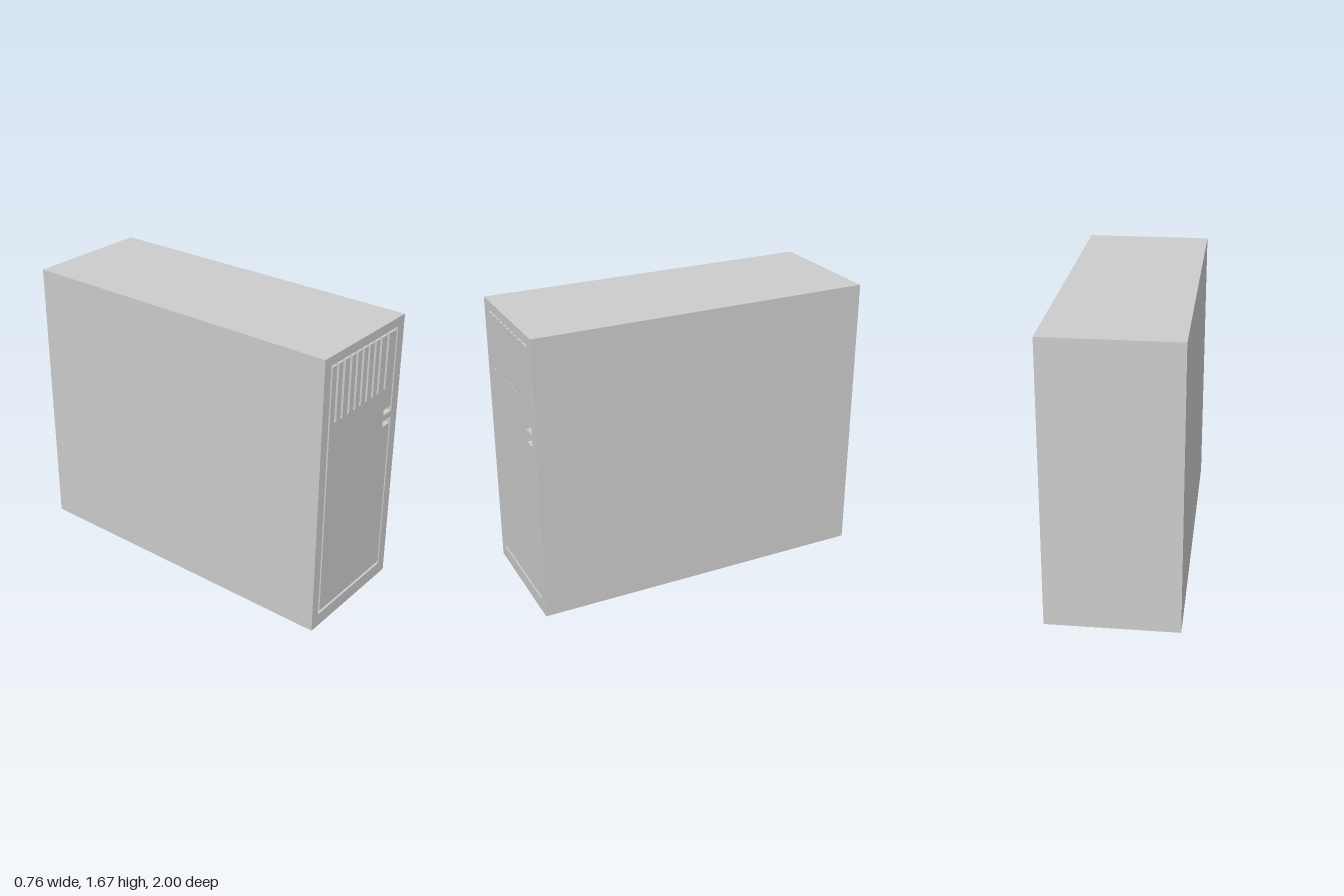
import * as THREE from 'three';

const W = 0.757, H = 1.667, D = 2, DEPTH = 0.05;
const material = new THREE.MeshStandardMaterial({ color: 0xcccccc, flatShading: true });

function addPart(group, name, geometry) {
  const mesh = new THREE.Mesh(geometry, material);
  mesh.name = name;
  group.add(mesh);
  return mesh;
}

// Outline of the door seam, with the handle notches and vent slots joined to it
function recessOutline() {
  const points = [
    [0.233, 1.11], [0.317, 1.11], [0.317, 1.615], [-0.322, 1.615],
    [-0.322, 0.079], [0.317, 0.079], [0.317, 1.073], [0.233, 1.073],
    [0.233, 1.037], [0.304, 1.037], [0.304, 0.097], [-0.308, 0.097], [-0.308, 1.602],
  ];
  for (const x of [-0.269, -0.211, -0.148, -0.09, -0.033, 0.024, 0.084, 0.141, 0.211]) {
    points.push([x, 1.602], [x, 1.276], [x + 0.021, 1.276], [x + 0.021, 1.602]);
  }
  points.push([0.304, 1.602], [0.304, 1.145], [0.233, 1.145]);
  return points.map(([x, y]) => new THREE.Vector2(x, y));
}

// Inward-facing walls running back from a counter-clockwise outline
function recessWalls(outline, front, back) {
  const positions = [];
  outline.forEach((a, i) => {
    const b = outline[(i + 1) % outline.length];
    positions.push(a.x, a.y, front, b.x, b.y, front, b.x, b.y, back);
    positions.push(a.x, a.y, front, b.x, b.y, back, a.x, a.y, back);
  });
  const geometry = new THREE.BufferGeometry();
  geometry.setAttribute('position', new THREE.Float32BufferAttribute(positions, 3));
  geometry.computeVertexNormals();
  return geometry;
}

export function createModel() {
  const group = new THREE.Group();
  group.name = 'locker';
  const outline = recessOutline();

  // Cabinet box without its front face (the fifth of six faces)
  const box = new THREE.BoxGeometry(W, H, D);
  const index = Array.from(box.index.array);
  index.splice(24, 6);
  box.setIndex(index);
  box.clearGroups();
  addPart(group, 'cabinet', box).position.y = H / 2;

  // Front face cut by the seam, slots and notches
  const face = new THREE.Shape([
    new THREE.Vector2(-W / 2, 0), new THREE.Vector2(W / 2, 0),
    new THREE.Vector2(W / 2, H), new THREE.Vector2(-W / 2, H),
  ]);
  face.holes.push(new THREE.Path(outline));
  addPart(group, 'doorFront', new THREE.ShapeGeometry(face)).position.z = D / 2;

  // Sides and floor of the recesses
  addPart(group, 'recessWalls', recessWalls(outline, D / 2, D / 2 - DEPTH));
  const floor = new THREE.ShapeGeometry(new THREE.Shape(outline));
  addPart(group, 'recessFloor', floor).position.z = D / 2 - DEPTH;

  return group;
}
